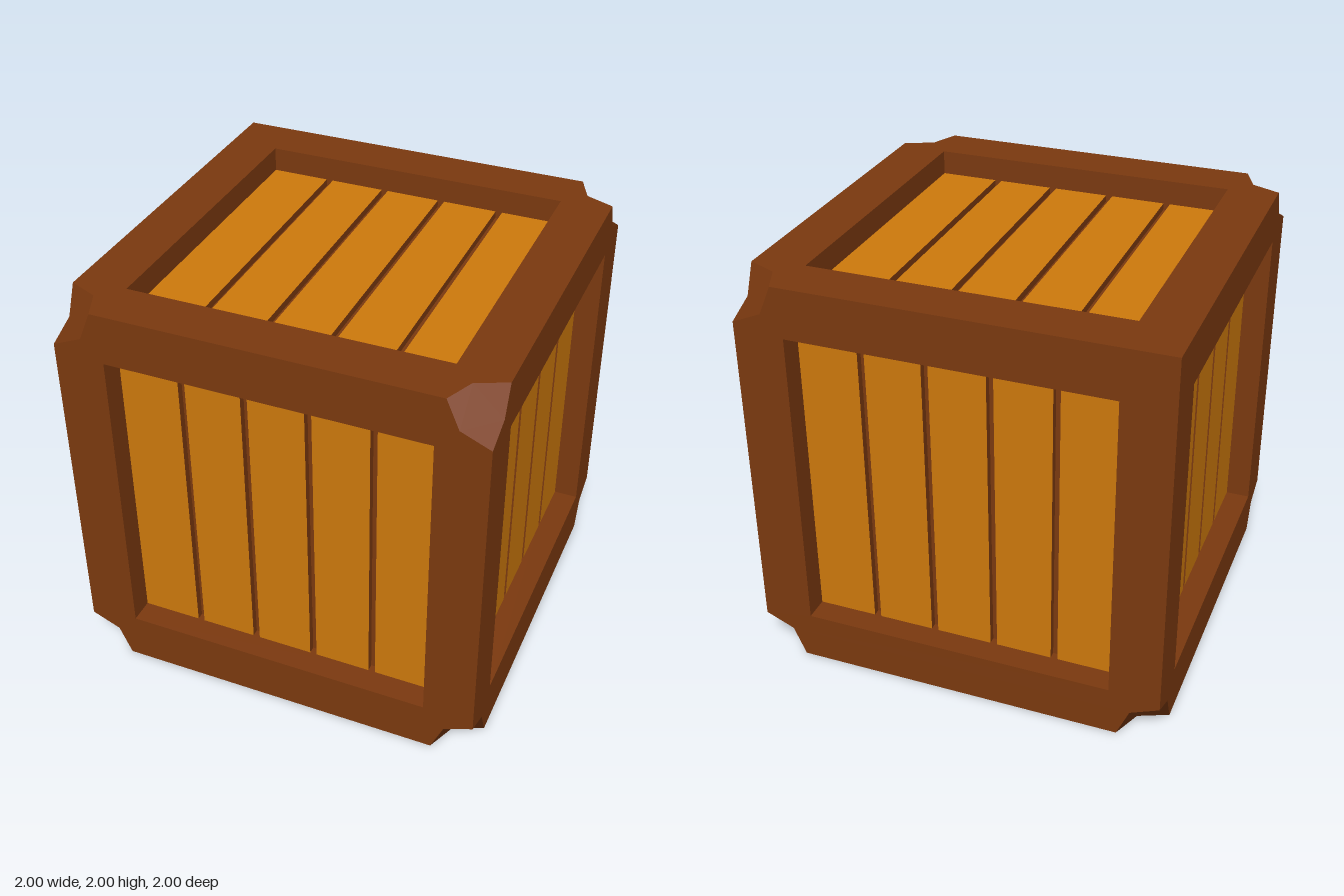
import * as THREE from 'three';

const HOLE = 0.757;   // half width of each recessed panel
const DEPTH = 0.12;   // rim to plank surface
const GROOVE = 0.035; // plank surface to backing
const CUT = 0.2;      // chipped corner, along the edges
const CUT_IN = 0.14;  // chipped corner, on the faces

const wood = new THREE.MeshStandardMaterial({ color: 0x7b390f });
const plankWood = new THREE.MeshStandardMaterial({ color: 0xcd790c });

// One top back corner stays whole
const isChipped = (x, y, z) => !(x < 0 && y > 0 && z < 0);

function mesh(name, geometry, material, parent) {
  const m = new THREE.Mesh(geometry, material);
  m.name = name;
  parent.add(m);
  return m;
}

// One crate side, facing +z before it is turned
function addSide(name, rx, ry, parent) {
  const side = new THREE.Group();
  side.name = name;
  side.rotation.set(rx, ry, 0);
  parent.add(side);

  // Rim with chipped corners and a square opening
  const pts = [];
  [[1, 1], [-1, 1], [-1, -1], [1, -1]].forEach(([sx, sy], i) => {
    const c = new THREE.Vector3(sx, sy, 1).applyEuler(side.rotation);
    if (!isChipped(c.x, c.y, c.z)) {
      pts.push(new THREE.Vector2(sx, sy));
      return;
    }
    const onVertical = new THREE.Vector2(sx, sy * (1 - CUT));
    const onHorizontal = new THREE.Vector2(sx * (1 - CUT), sy);
    const inner = new THREE.Vector2(sx * (1 - CUT_IN), sy * (1 - CUT_IN));
    pts.push(...(i % 2 ? [onHorizontal, inner, onVertical] : [onVertical, inner, onHorizontal]));
  });
  const shape = new THREE.Shape(pts);
  shape.holes.push(new THREE.Path([[-1, -1], [-1, 1], [1, 1], [1, -1]]
    .map(([x, y]) => new THREE.Vector2(x * HOLE, y * HOLE))));
  mesh('rim', new THREE.ShapeGeometry(shape), wood, side).position.z = 1;

  // Recess walls and backing
  const full = DEPTH + GROOVE;
  for (let i = 0; i < 4; i++) {
    const wall = new THREE.PlaneGeometry(2 * HOLE, full)
      .rotateX(-Math.PI / 2)
      .translate(0, -HOLE, 1 - full / 2)
      .rotateZ(i * Math.PI / 2);
    mesh('recessWall', wall, wood, side);
  }
  mesh('backing', new THREE.PlaneGeometry(2 * HOLE, 2 * HOLE), wood, side).position.z = 1 - full;

  // Five planks with dark sides, separated by grooves
  const gaps = [-0.453, -0.151, 0.151, 0.453];
  const half = 0.0165;
  for (let i = 0; i < 5; i++) {
    const x0 = i === 0 ? -HOLE : gaps[i - 1] + half;
    const x1 = i === 4 ? HOLE : gaps[i] - half;
    const plank = mesh('plank', new THREE.BoxGeometry(x1 - x0, 2 * HOLE, GROOVE),
      [wood, wood, wood, wood, plankWood, wood], side);
    plank.position.set((x0 + x1) / 2, 0, 1 - DEPTH - GROOVE / 2);
  }
}

// Shallow dished facet where a corner is chipped off
function chipGeometry(sx, sy, sz) {
  const e = 1 - CUT, f = 1 - CUT_IN;
  const eX = [e, 1, 1], eY = [1, e, 1], eZ = [1, 1, e];
  const fXY = [f, f, 1], fYZ = [1, f, f], fXZ = [f, 1, f];
  const tris = [[fXY, fYZ, fXZ], [fXY, fXZ, eX], [fYZ, fXY, eY], [fXZ, fYZ, eZ]];
  const pos = [], nor = [];
  const k = 1 / Math.sqrt(3);
  for (const t of tris) {
    const order = sx * sy * sz > 0 ? t : [t[0], t[2], t[1]];
    for (const [x, y, z] of order) {
      pos.push(x * sx, y * sy, z * sz);
      nor.push(k * sx, k * sy, k * sz);
    }
  }
  const g = new THREE.BufferGeometry();
  g.setAttribute('position', new THREE.Float32BufferAttribute(pos, 3));
  g.setAttribute('normal', new THREE.Float32BufferAttribute(nor, 3));
  return g;
}

export function createModel() {
  const model = new THREE.Group();
  model.name = 'woodenCrate';
  const crate = new THREE.Group();
  crate.name = 'crate';
  crate.position.y = 1;
  model.add(crate);

  const q = Math.PI / 2;
  addSide('frontSide', 0, 0, crate);
  addSide('leftSide', 0, q, crate);
  addSide('backSide', 0, 2 * q, crate);
  addSide('rightSide', 0, -q, crate);
  addSide('topSide', -q, 0, crate);
  addSide('bottomSide', q, 0, crate);

  // Chipped corners
  for (const x of [-1, 1]) for (const y of [-1, 1]) for (const z of [-1, 1]) {
    if (isChipped(x, y, z)) mesh('chippedCorner', chipGeometry(x, y, z), wood, crate);
  }
  return model;
}
